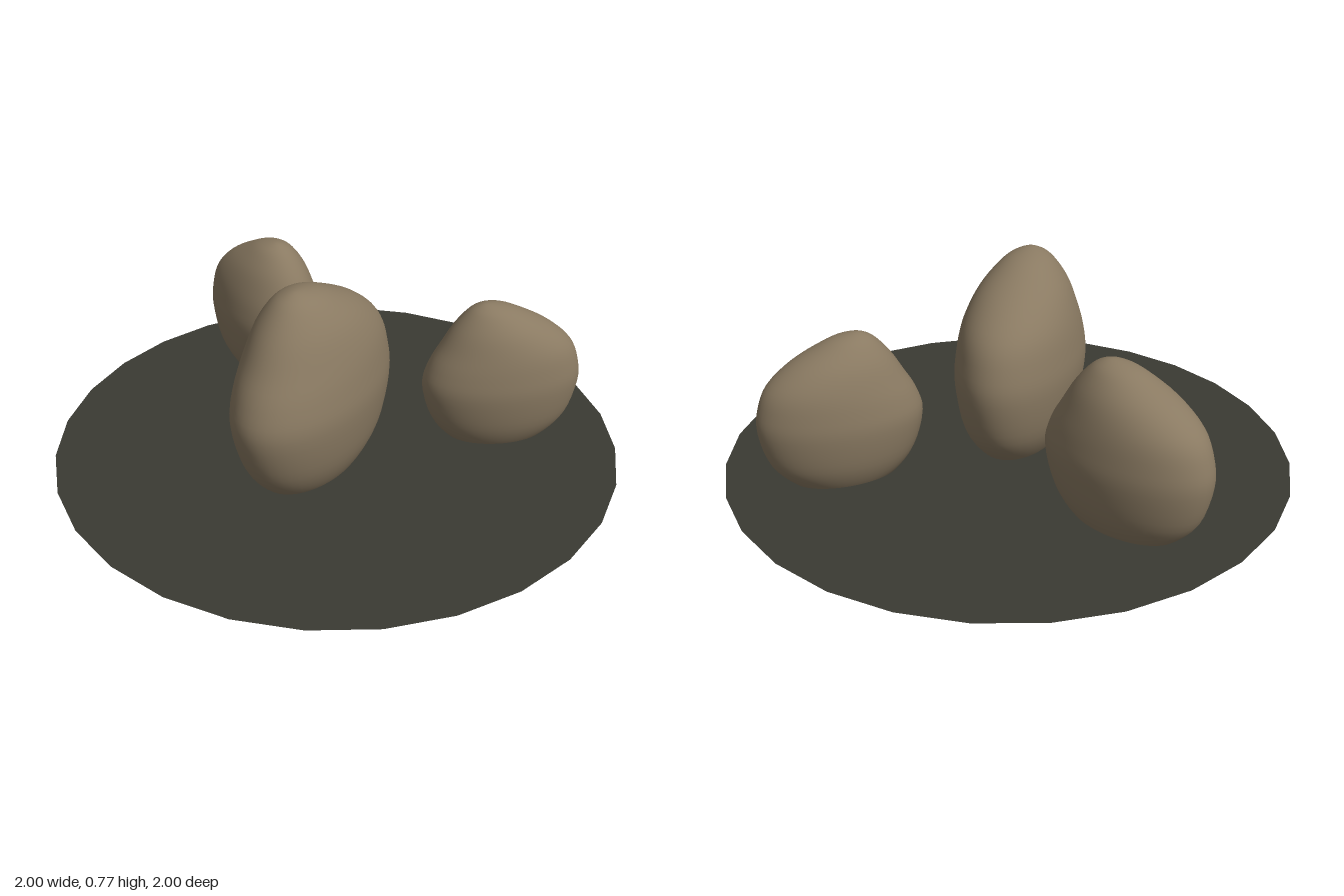
import * as THREE from 'three';
import { mergeVertices } from 'three/addons/utils/BufferGeometryUtils.js';

// Horizontal slices of a boulder: height, back z, front z, half width
const SLICES = [
  [0.03, -0.14, 0.145, 0.08],
  [0.09, -0.24, 0.25, 0.14],
  [0.2, -0.335, 0.335, 0.19],
  [0.36, -0.377, 0.38, 0.215],
  [0.47, -0.365, 0.355, 0.208],
  [0.57, -0.32, 0.3, 0.188],
  [0.66, -0.215, 0.247, 0.152],
  [0.73, -0.085, 0.19, 0.1],
  [0.765, 0.0, 0.145, 0.055],
];

// Sphere reshaped to elliptical slices between a front and a back outline
function boulderGeometry() {
  const point = (x, y, z) => new THREE.Vector3(x, y, z);
  const outline = new THREE.CatmullRomCurve3([
    point(0, 0.005, 0),
    ...SLICES.map(([y, , front, w]) => point(w, y, front)),
    point(0, 0.78, 0.09),
    ...[...SLICES].reverse().map(([y, back, , w]) => point(-w, y, back)),
  ], true, 'catmullrom', 0.5);

  const geometry = new THREE.SphereGeometry(1, 48, 40);
  const { position, uv } = geometry.attributes;
  for (let i = 0; i < position.count; i++) {
    const t = uv.getY(i) / 2;
    const phi = uv.getX(i) * Math.PI * 2;
    const front = outline.getPoint(t);
    const back = outline.getPoint(1 - t);
    const middle = (front.z + back.z) / 2;
    const half = (front.z - back.z) / 2;
    position.setXYZ(i, -front.x * Math.cos(phi), front.y, middle + half * Math.sin(phi));
  }
  // Weld the seam so the shading is smooth all round
  geometry.deleteAttribute('uv');
  geometry.deleteAttribute('normal');
  const welded = mergeVertices(geometry, 1e-5);
  welded.computeVertexNormals();
  return welded;
}

export function createModel() {
  const model = new THREE.Group();
  model.name = 'boulderGroup';

  const stone = new THREE.MeshStandardMaterial({ color: 0x8a7a62 });
  stone.name = 'brown stone';
  const soil = new THREE.MeshStandardMaterial({ color: 0x3a3a33, side: THREE.DoubleSide });
  soil.name = 'dark soil';

  // Flat ground disc that the boulders sink into
  const ground = new THREE.Mesh(new THREE.CircleGeometry(1, 28), soil);
  ground.name = 'groundDisc';
  ground.rotation.x = -Math.PI / 2;
  ground.position.y = 0.092;
  model.add(ground);

  // One boulder shape, turned and scaled
  const geometry = boulderGeometry();
  const boulders = [
    ['frontBoulder', [0, 0, 0.155], 1, 0],
    ['rightBoulder', [-0.507, 0.02, -0.32], 0.797, 68],
    ['leftBoulder', [0.482, 0.025, -0.34], 0.75, -50],
  ];
  for (const [name, position, scale, turn] of boulders) {
    const boulder = new THREE.Mesh(geometry, stone);
    boulder.name = name;
    boulder.position.set(...position);
    boulder.scale.setScalar(scale);
    boulder.rotation.y = THREE.MathUtils.degToRad(turn);
    model.add(boulder);
  }
  return model;
}
